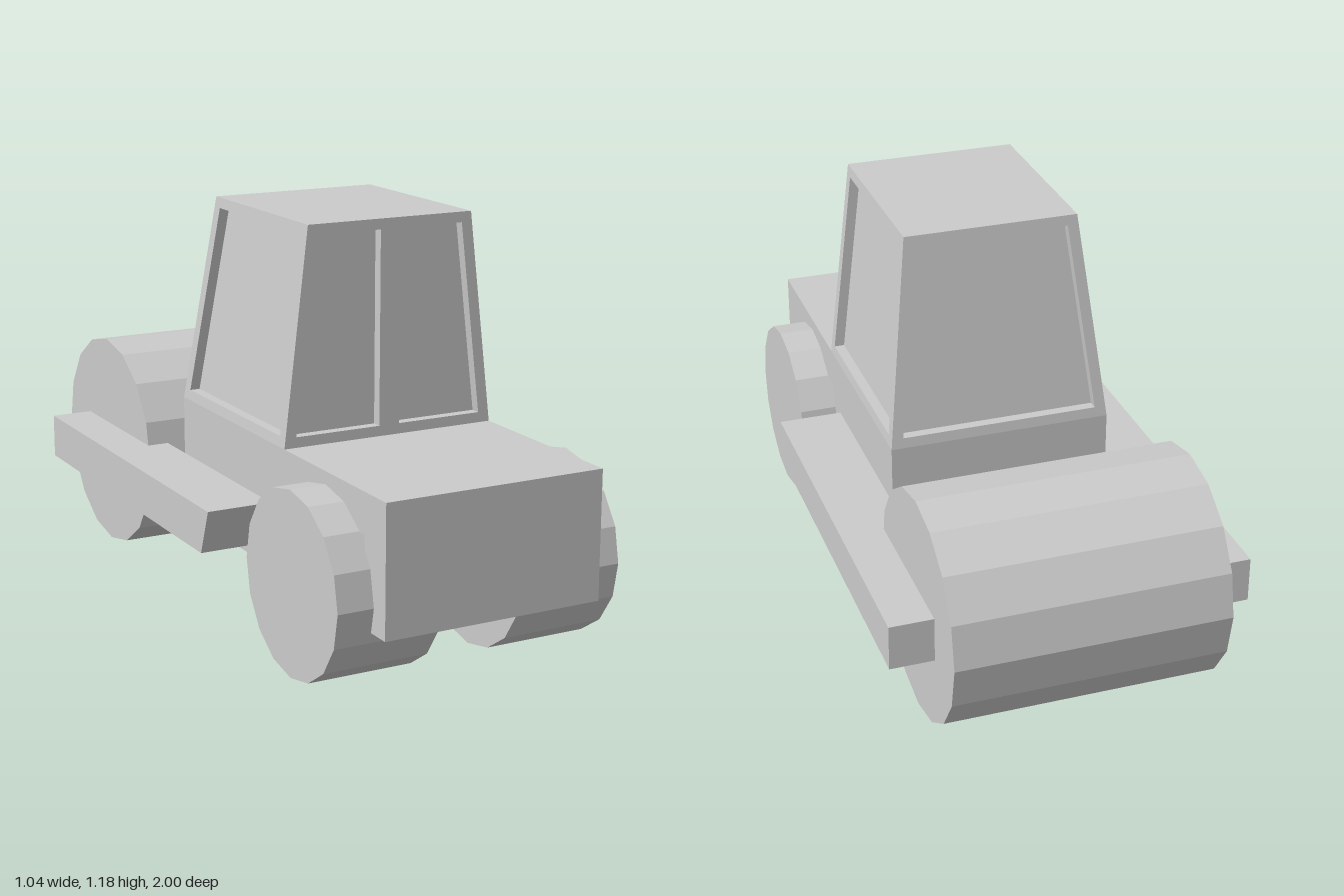
import * as THREE from 'three';

const grey = new THREE.MeshStandardMaterial({ color: 0xcccccc, flatShading: true });

// Cab dimensions: the cab tapers from base to roof on the sides and back
const BASE = 0.565, ROOF = 1.18, RECESS = 0.03;
const lerpY = (y, low, high) => low + (high - low) * (y - BASE) / (ROOF - BASE);
const halfWidth = y => lerpY(y, 0.33, 0.257);
const backZ = y => lerpY(y, -0.225, -0.135);
const FRONT_Z = 0.44;
const SILL = 0.595, LINTEL = 1.15;

function add(parent, name, geometry) {
  const mesh = new THREE.Mesh(geometry, grey);
  mesh.name = name;
  parent.add(mesh);
  return mesh;
}

// Move every vertex by a rule, then refresh the flat normals
function warp(geometry, rule) {
  const g = geometry.index ? geometry.toNonIndexed() : geometry;
  const p = g.attributes.position, v = new THREE.Vector3();
  for (let i = 0; i < p.count; i++) {
    rule(v.fromBufferAttribute(p, i));
    p.setXYZ(i, v.x, v.y, v.z);
  }
  g.computeVertexNormals();
  return g;
}

const outline = points => points.map(([x, y]) => new THREE.Vector2(x, y));

// Side profile given as [z, y], extruded across x from x0 to x1
function profileAcross(points, x0, x1) {
  const shape = new THREE.Shape(outline(points.map(([z, y]) => [-z, y])));
  const g = new THREE.ExtrudeGeometry(shape, { depth: x1 - x0, bevelEnabled: false });
  return g.rotateY(Math.PI / 2).translate(x0, 0, 0);
}

// Sixteen-sided roller with its axle along x
function roller(radius, width, x, y, z) {
  return new THREE.CylinderGeometry(radius, radius, width, 16)
    .rotateZ(Math.PI / 2).translate(x, y, z);
}

// Trapezoid bounded by two edge functions of height
const trapezoid = (left, right, y0, y1) =>
  outline([[left(y0), y0], [right(y0), y0], [right(y1), y1], [left(y1), y1]]);

// Window frame: wall with openings, leaned to follow reach(y), turned about y
function frame(left, right, openings, reach, turn) {
  const shape = new THREE.Shape(trapezoid(left, right, BASE, ROOF));
  for (const [a, b] of openings) shape.holes.push(new THREE.Path(trapezoid(a, b, SILL, LINTEL)));
  const g = new THREE.ExtrudeGeometry(shape, { depth: RECESS, bevelEnabled: false });
  return warp(g, v => { v.z += reach(v.y) - RECESS; }).rotateY(turn);
}

export function createModel() {
  const model = new THREE.Group();
  model.name = 'roadRoller';

  // Chassis with hood, open wheel bay and lower body
  add(model, 'chassis', profileAcross([
    [1, 0.195], [1, BASE], [-0.225, BASE], [-0.225, 0.2],
    [0.34, 0.2], [0.44, 0.45], [0.89, 0.45], [0.89, 0.195],
  ], -0.33, 0.33));

  // Cab: inset core forms the panes and roof, frames surround it
  const cab = new THREE.Group();
  cab.name = 'cab';
  model.add(cab);
  add(cab, 'panes', warp(new THREE.BoxGeometry(2, 1, 2), v => {
    v.y = v.y > 0 ? ROOF : BASE;
    v.x *= halfWidth(v.y) - RECESS;
    v.z = v.z > 0 ? FRONT_Z - RECESS : backZ(v.y) + RECESS;
  }));

  const minusHalf = y => -halfWidth(y), minusBack = y => -backZ(y);
  const winEdge = y => halfWidth(y) - 0.033, minusWin = y => -winEdge(y);
  add(cab, 'frontFrame', frame(minusHalf, halfWidth,
    [[minusWin, () => -0.032], [() => 0.032, winEdge]], () => FRONT_Z, 0));
  add(cab, 'backFrame', frame(minusHalf, halfWidth,
    [[minusWin, winEdge]], minusBack, Math.PI));
  add(cab, 'leftFrame', frame(() => -FRONT_Z, minusBack,
    [[() => -FRONT_Z + 0.033, y => -backZ(y) - 0.035]], halfWidth, Math.PI / 2));
  add(cab, 'rightFrame', frame(backZ, () => FRONT_Z,
    [[y => backZ(y) + 0.035, () => FRONT_Z - 0.033]], halfWidth, -Math.PI / 2));

  // Rear drum
  add(model, 'drum', roller(0.329, 0.79, 0, 0.333, -0.671));

  // Front wheels and drum arms on both sides
  const armSide = [[0.352, 0.39], [-0.83, 0.39], [-0.83, 0.257], [0.303, 0.257]];
  for (const [side, s] of [['left', 1], ['right', -1]]) {
    add(model, side + 'Wheel', roller(0.263, 0.313, s * 0.279, 0.266, 0.678));
    add(model, side + 'Arm', profileAcross(armSide, s > 0 ? 0.33 : -0.522, s > 0 ? 0.522 : -0.33));
  }
  return model;
}
